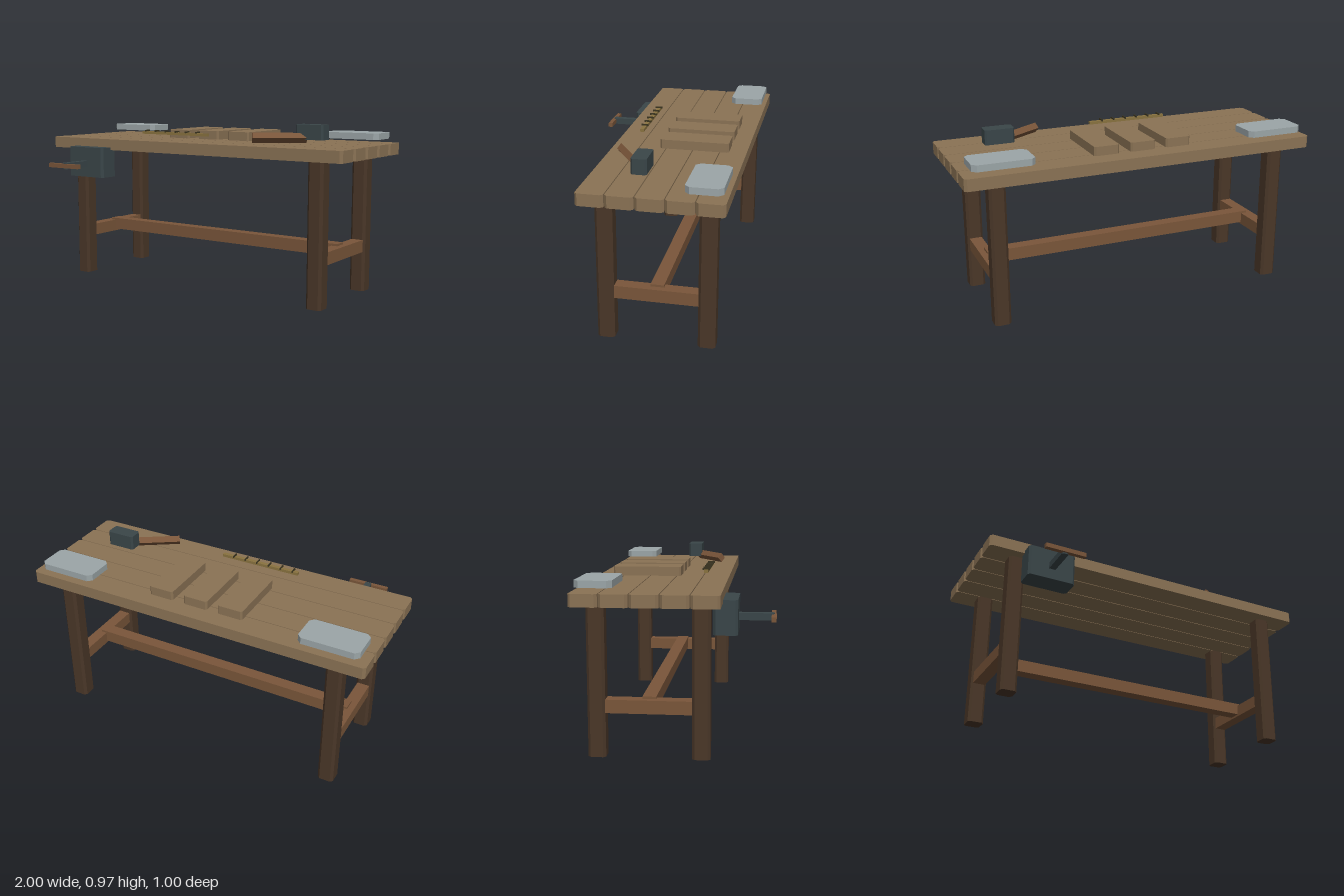
import * as THREE from 'three';

const mat = (color) => new THREE.MeshStandardMaterial({ color, flatShading: true });

// Block with chamfered vertical edges, given by its min/max extents
function block(name, material, [x0, x1], [y0, y1], [z0, z1], chamfer = 0) {
  const w = (x1 - x0) / 2, d = (z1 - z0) / 2, c = chamfer;
  let geo;
  if (c > 0) {
    const outline = [[w - c, -d], [w, -d + c], [w, d - c], [w - c, d], [-w + c, d], [-w, d - c], [-w, -d + c], [-w + c, -d]];
    const shape = new THREE.Shape(outline.map(([x, y]) => new THREE.Vector2(x, y)));
    geo = new THREE.ExtrudeGeometry(shape, { depth: y1 - y0, bevelEnabled: false });
    geo.rotateX(-Math.PI / 2).translate(0, -(y1 - y0) / 2, 0);
  } else {
    geo = new THREE.BoxGeometry(w * 2, y1 - y0, d * 2);
  }
  const mesh = new THREE.Mesh(geo, material);
  mesh.name = name;
  mesh.position.set((x0 + x1) / 2, (y0 + y1) / 2, (z0 + z1) / 2);
  return mesh;
}

export function createModel() {
  const bench = new THREE.Group();
  bench.name = 'workbench';
  const plankWood = mat(0x8b7355), legWood = mat(0x4a3728), railWood = mat(0x7a563a);
  const iron = mat(0x3a4649), steel = mat(0x9ca6a8), brass = mat(0x8a7340), dark = mat(0x3a3420);
  const add = (...args) => bench.add(block(...args));

  // Table top planks
  for (let i = 0; i < 5; i++) {
    const z = 0.1635 - i * 0.1478;
    add('topPlank', plankWood, [-1, 1], [0.79, 0.855], [z - 0.0715, z + 0.0715], 0.014);
  }

  // Legs and side rails
  for (const s of [-1, 1]) {
    const x = s * 0.82;
    for (const z of [0.1335, -0.3975])
      add('leg', legWood, [x - 0.045, x + 0.045], [0, 0.79], [z - 0.046, z + 0.046], 0.014);
    add('sideRail', railWood, [x - 0.035, x + 0.035], [0.23, 0.3], [-0.353, 0.088]);
  }
  add('longStretcher', railWood, [-0.82, 0.82], [0.242, 0.312], [-0.168, -0.097]);

  // Vise on the front edge
  const vise = new THREE.Group();
  vise.name = 'vise';
  vise.add(
    block('viseJaw', iron, [-0.8, -0.53], [0.628, 0.806], [0.185, 0.31], 0.013),
    block('viseScrew', iron, [-0.684, -0.647], [0.688, 0.725], [0.3, 0.49], 0.008),
    block('viseHandle', railWood, [-0.78, -0.55], [0.695, 0.72], [0.475, 0.5])
  );
  bench.add(vise);

  // Metal plates at the rear corners
  for (const x of [-0.79, 0.787])
    add('metalPlate', steel, [x - 0.166, x + 0.166], [0.878, 0.914], [-0.48, -0.292], 0.024);

  // Wooden blocks
  for (const x of [-0.212, -0.002, 0.208])
    add('woodBlock', plankWood, [x - 0.072, x + 0.072], [0.861, 0.911], [-0.406, -0.03], 0.01);

  // Ruler with tick marks
  const ruler = new THREE.Group();
  ruler.name = 'ruler';
  ruler.add(block('rulerBar', brass, [-0.37, 0.102], [0.889, 0.905], [0.105, 0.127]));
  for (let i = 0; i < 6; i++) {
    const x = -0.339 + i * 0.0735;
    ruler.add(block('rulerMark', dark, [x - 0.003, x + 0.003], [0.903, 0.913], [0.096, 0.137]));
  }
  bench.add(ruler);

  // Mallet: diamond-section handle lying at an angle, with a block head
  const mallet = new THREE.Group();
  mallet.name = 'mallet';
  const handleGeo = new THREE.CylinderGeometry(1, 1, 0.295, 4);
  handleGeo.rotateZ(-Math.PI / 2).scale(1, 0.0275, 0.0235);
  const handle = new THREE.Mesh(handleGeo, railWood);
  handle.name = 'malletHandle';
  handle.position.set(0.545, 0.8955, 0.073);
  handle.rotation.y = 0.57;
  mallet.add(handle, block('malletHead', iron, [0.61, 0.775], [0.886, 0.968], [-0.07, 0.013], 0.01));
  bench.add(mallet);

  return bench;
}
